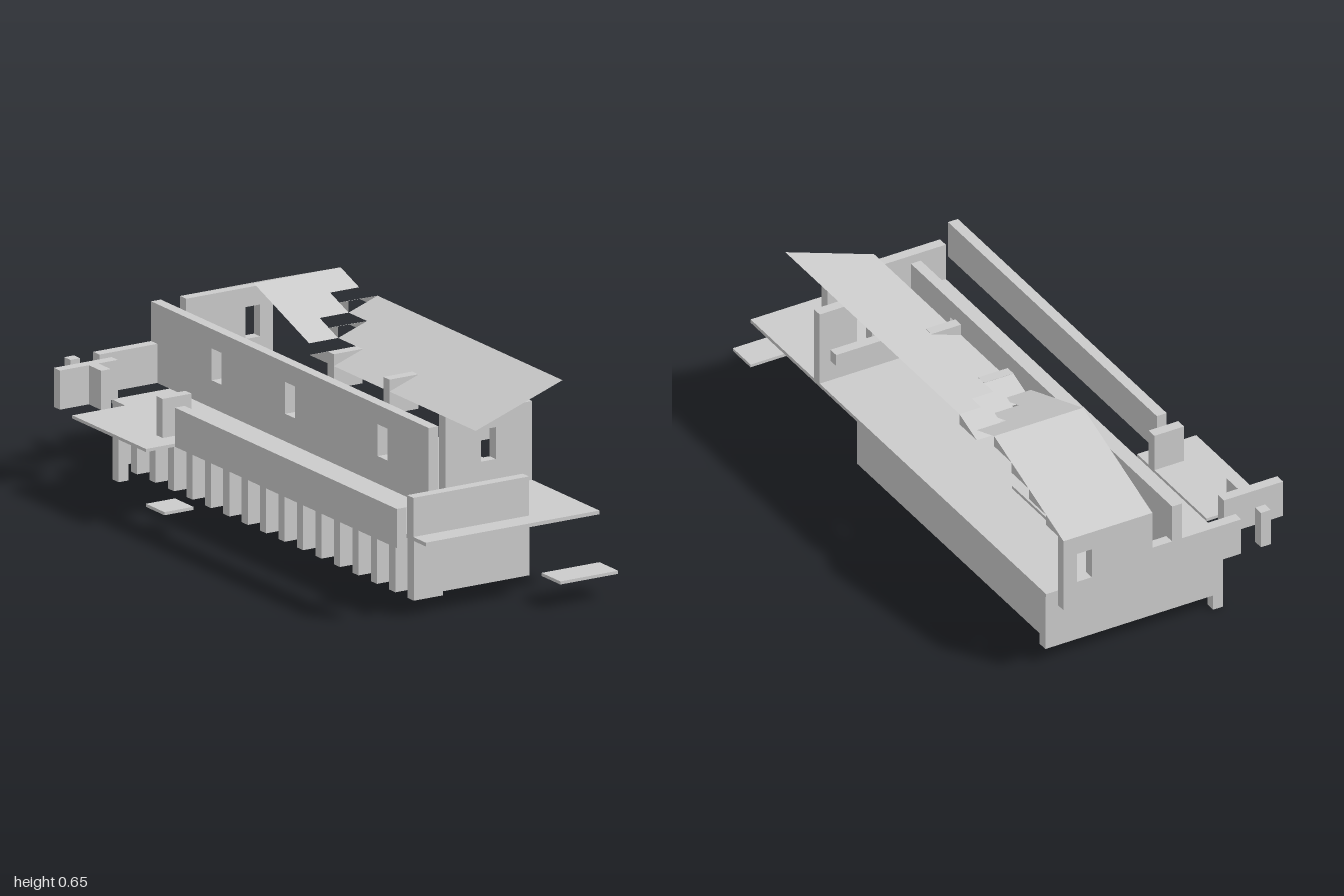
import * as THREE from 'three';

const mat = new THREE.MeshStandardMaterial({ color: 0xcccccc, flatShading: true, side: THREE.DoubleSide });
const T = 0.035; // wall thickness
const C = 0.105; // grid cell
const RISE = 0.037; // roof rise per cell

export function createModel() {
  const model = new THREE.Group();
  const group = (name) => {
    const g = new THREE.Group();
    g.name = name;
    model.add(g);
    return g;
  };
  const add = (name, geo, parent = model) => {
    const m = new THREE.Mesh(geo, mat);
    m.name = name;
    parent.add(m);
    return m;
  };
  // Box from its minimum and maximum corners
  const box = (name, x0, x1, y0, y1, z0, z1, parent) => {
    const m = add(name, new THREE.BoxGeometry(x1 - x0, y1 - y0, z1 - z0), parent);
    m.position.set((x0 + x1) / 2, (y0 + y1) / 2, (z0 + z1) / 2);
    return m;
  };
  // Upright outline with rectangular openings [u0, u1, v0, v1], one wall thick
  const panel = (pts, openings) => {
    const s = new THREE.Shape(pts.map((p) => new THREE.Vector2(...p)));
    for (const [a, b, c, d] of openings) {
      s.holes.push(new THREE.Path([[a, c], [a, d], [b, d], [b, c]].map((p) => new THREE.Vector2(...p))));
    }
    return new THREE.ExtrudeGeometry(s, { depth: T, bevelEnabled: false });
  };
  // Single flat polygon with three or four corners
  const face = (name, corners, parent) => {
    const g = new THREE.BufferGeometry();
    g.setAttribute('position', new THREE.Float32BufferAttribute(corners.flat(), 3));
    g.setIndex(corners.length === 4 ? [0, 1, 2, 0, 2, 3] : [0, 1, 2]);
    g.computeVertexNormals();
    return add(name, g, parent);
  };

  // Floors
  box('mainFloor', -0.21, 0.42, 0.243, 0.255, -0.895, 0.893);
  box('raisedFloor', T, C, 0.255, 0.265, -0.89, 0.475);
  box('raisedFloorBay', C, 0.21, 0.255, 0.265, -0.58, -0.33);
  box('sideDeck', -0.42, -0.21, 0.255, 0.265, -0.79, -0.37);
  box('frontStep', 0.21, 0.42, 0.08, 0.09, 0.893, 1);
  box('sideStep', -0.42, -0.315, 0.08, 0.09, -0.37, -0.265);

  // Foundation
  const foundation = group('foundation');
  for (let i = 0; i < 17; i++) {
    const z = 0.79 - i * C;
    box('foundationPost', -0.21, -C, 0.052, 0.243, z, z + T, foundation);
  }
  box('frontFoundationWall', -C, 0.21, 0.065, 0.243, 0.79, 0.79 + T, foundation);
  box('backFoundationWall', -C, 0.42, 0.052, 0.243, -0.89, -0.855, foundation);
  box('sideFoundationWall', 0.315, 0.35, 0, 0.243, -0.785, 0.37, foundation);
  box('cornerPost', -0.21, -0.175, 0, 0.243, -0.89, -0.855, foundation);

  // Long inner wall with three windows (outline runs along -z)
  const inner = add('innerWall', panel(
    [[-0.58, 0.255], [0.965, 0.255], [0.965, 0.507], [-0.58, 0.507]],
    [-0.345, 0.182, 0.6].map((u) => [u, u + 0.055, 0.343, 0.445])));
  inner.rotation.y = Math.PI / 2;

  // Front room wall and stepped back wall, each with a window
  const front = add('frontRoomWall', panel(
    [[C, 0.255], [0.42, 0.255], [0.42, 0.507], [C, 0.507]], [[0.235, 0.288, 0.343, 0.445]]));
  front.position.z = 0.475;
  const back = add('backWall', panel(
    [[-0.21, 0.255], [0.42, 0.255], [0.42, 0.507], [C, 0.507], [C, 0.38], [T, 0.38],
      [T, 0.507], [0, 0.507], [0, 0.38], [-0.21, 0.38]], [[0.32, 0.373, 0.343, 0.445]]));
  back.position.z = -1;

  // Low walls and posts around the porch
  const porch = group('porchWalls');
  box('frontLowWall', -0.21, 0.21, 0.255, 0.38, 0.787, 0.822, porch);
  box('sideRailing', -0.315, -0.28, 0.255, 0.38, -0.37, 0.893, porch);
  box('deckBackWall', -0.42, -0.21, 0.265, 0.39, -0.895, -0.86, porch);
  box('deckFrontWall', -0.315, -0.21, 0.265, 0.39, -0.475, -0.44, porch);
  box('deckPost', -0.315, -0.28, 0.265, 0.39, -0.86, -0.79, porch);
  box('backPost', -0.315, -0.28, 0.255, 0.38, -1, -0.965, porch);

  // Beams
  box('roofBeam', C, 0.21, 0.435, 0.545, 0.157, 0.192);
  box('roofBeam', C, 0.21, 0.435, 0.545, -0.16, -0.125);
  box('frontBeam', 0.21, 0.42, 0.375, 0.415, 0.375, 0.41);

  // Roof: strips of main slope, valley tile and gable front slope, stepping back
  const roof = group('roof');
  const eave = 0.507, ridgeY = eave + 4 * RISE, ridgeZ = -0.58;
  for (let i = 0; i < 3; i++) {
    const x0 = C + i * C, x1 = x0 + C;
    const y0 = eave + i * RISE, y1 = y0 + RISE;
    const z1 = -0.16 - i * C, z0 = z1 - C;
    face('mainRoofStrip', [[x0, y0, 0.683], [x1, y1, 0.683], [x1, y1, z1], [x0, y0, z1]], roof);
    face('valleyTile', [[x0, y1, z1], [x1, y1, z1], [x1, y0, z0], [x0, y0, z0]], roof);
    for (const x of [x0, x1]) {
      face('valleyTileSide', [[x, y0, z1], [x, y0, z0], [x, y1, z1]], roof);
    }
    face('gableFrontStrip', [[x0, y1, z0], [x1, y1, z0], [x1, ridgeY, ridgeZ], [x0, ridgeY, ridgeZ]], roof);
  }
  face('gableBackSlope', [[C, ridgeY, ridgeZ], [0.42, ridgeY, ridgeZ], [0.42, eave, -1], [C, eave, -1]], roof);

  // Saw-tooth edge under the back slope
  for (let i = 0; i < 4; i++) {
    const z = ridgeZ - i * C, y = ridgeY - i * RISE;
    face('gableTooth', [[0.42, y - RISE, z], [0.42, y - RISE, z - C], [0.42, y, z]], roof);
  }
  return model;
}
